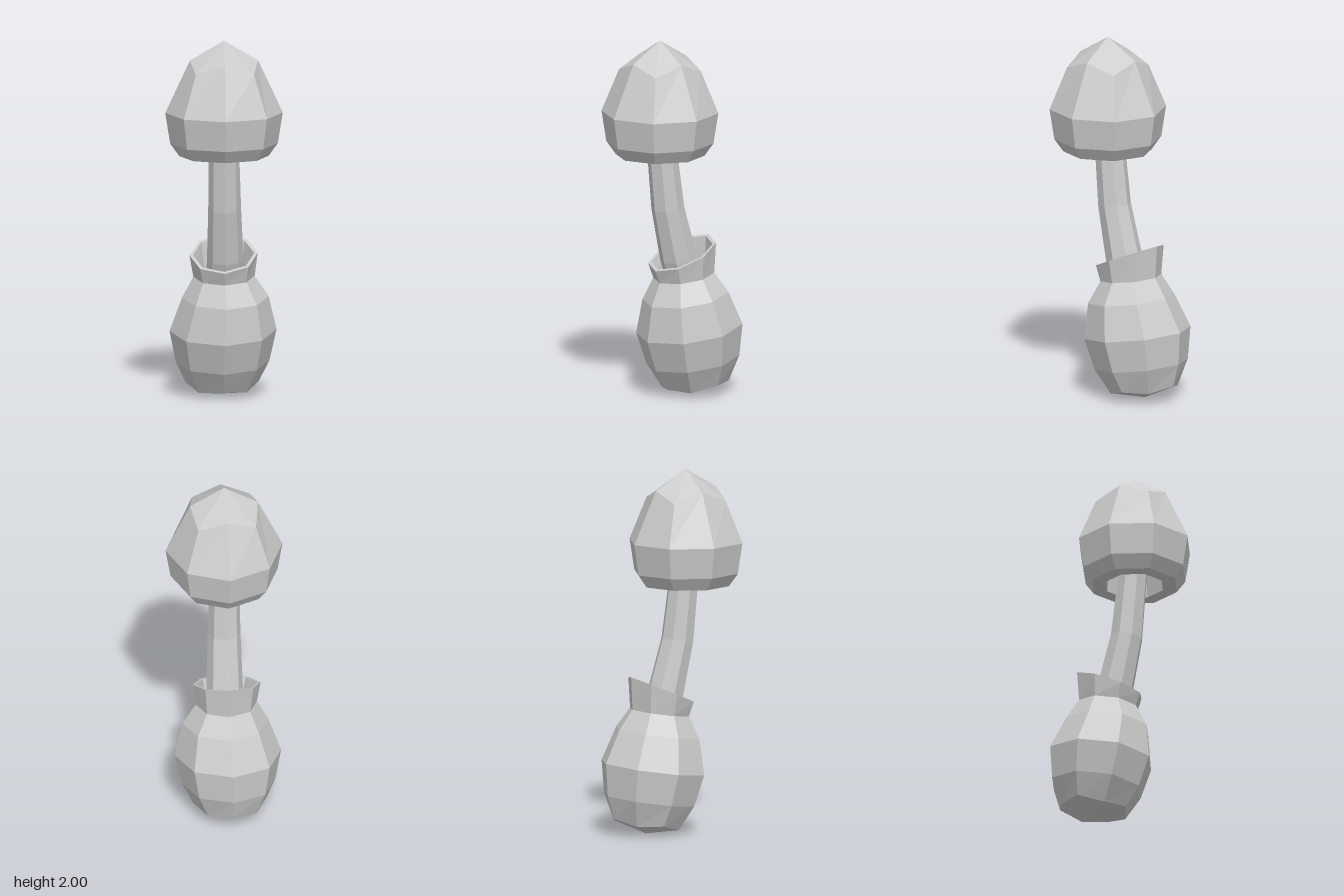
import * as THREE from 'three';

const SIDES = 8;
const TURN = -0.075; // slight turn shared by all parts

// Eight-sided ring; it can tilt by sx and sz, and its diagonal corners can shift by dr and dy.
function ring(x, y, z, r, { sx = 0, sz = 0, dr = 0, dy = 0 } = {}) {
  return Array.from({ length: SIDES }, (_, i) => {
    const a = TURN + (i / SIDES) * Math.PI * 2;
    const rad = r + (i % 2) * dr;
    const px = Math.cos(a) * rad, pz = Math.sin(a) * rad;
    return new THREE.Vector3(x + px, y + (i % 2) * dy + sx * px + sz * pz, z + pz);
  });
}

// Faceted skin through the rings; upward order faces outward, downward order faces inward.
function loft(name, rings, material) {
  const pos = [];
  const tri = (a, b, c) => {
    const area = b.clone().sub(a).cross(c.clone().sub(a)).length();
    if (area > 1e-7) for (const p of [a, b, c]) pos.push(p.x, p.y, p.z);
  };
  for (let k = 0; k < rings.length - 1; k++) {
    const lo = rings[k], hi = rings[k + 1];
    for (let i = 0; i < SIDES; i++) {
      const j = (i + 1) % SIDES;
      tri(lo[i], hi[i], lo[j]);
      tri(lo[j], hi[i], hi[j]);
    }
  }
  const geometry = new THREE.BufferGeometry();
  geometry.setAttribute('position', new THREE.Float32BufferAttribute(pos, 3));
  geometry.computeVertexNormals();
  const mesh = new THREE.Mesh(geometry, material);
  mesh.name = name;
  return mesh;
}

export function createModel() {
  const group = new THREE.Group();
  group.name = 'mushroom';
  const material = new THREE.MeshStandardMaterial({
    color: 0xcccccc, flatShading: true, side: THREE.DoubleSide,
  });

  // Cap: hollow underside, flat rim, domed outside, four-sided peak
  const cx = -0.052, cz = 0.07;
  const cap = loft('cap', [
    ring(cx, 1.52, cz, 0),
    ring(cx, 1.5, cz, 0.15),
    ring(cx, 1.36, cz, 0.165),
    ring(cx, 1.36, cz, 0.245),
    ring(cx, 1.43, cz, 0.295),
    ring(cx, 1.6, cz, 0.322),
    ring(cx, 1.835, cz, 0.225, { dr: -0.038, dy: 0.055 }),
    ring(cx, 2, cz, 0),
  ], material);

  // Stem: curved and leaning towards the bulb
  const stem = loft('stem', [
    ring(0.075, 0.6, -0.06, 0.105),
    ring(0.035, 0.77, -0.015, 0.1, { sx: 0.15, sz: -0.15 }),
    ring(-0.015, 1.06, 0.035, 0.09, { sx: 0.1, sz: -0.1 }),
    ring(-0.04, 1.36, 0.057, 0.084),
    ring(-0.05, 1.53, 0.068, 0.084),
  ], material);

  // Bulb: tilted egg with a four-sided base
  const lean = { sx: 0.1, sz: -0.1 };
  const bulb = loft('bulb', [
    ring(0.11, 0, -0.125, 0),
    ring(0.108, 0.045, -0.12, 0.185, { ...lean, dr: 0.015, dy: 0.02 }),
    ring(0.098, 0.185, -0.105, 0.257, lean),
    ring(0.083, 0.36, -0.085, 0.293, lean),
    ring(0.068, 0.55, -0.05, 0.237, lean),
    ring(0.058, 0.665, -0.05, 0.168, lean),
  ], material);

  // Collar: slanted, flared cup around the foot of the stem
  const slant = { sx: 0.3, sz: -0.3 };
  const collar = loft('collar', [
    ring(0.058, 0.665, -0.05, 0.168, lean),
    ring(0.05, 0.79, -0.045, 0.187, slant),
    ring(0.05, 0.79, -0.045, 0.168, slant),
    ring(0.058, 0.675, -0.05, 0.145, lean),
    ring(0.058, 0.66, -0.05, 0),
  ], material);

  group.add(cap, stem, bulb, collar);
  return group;
}
